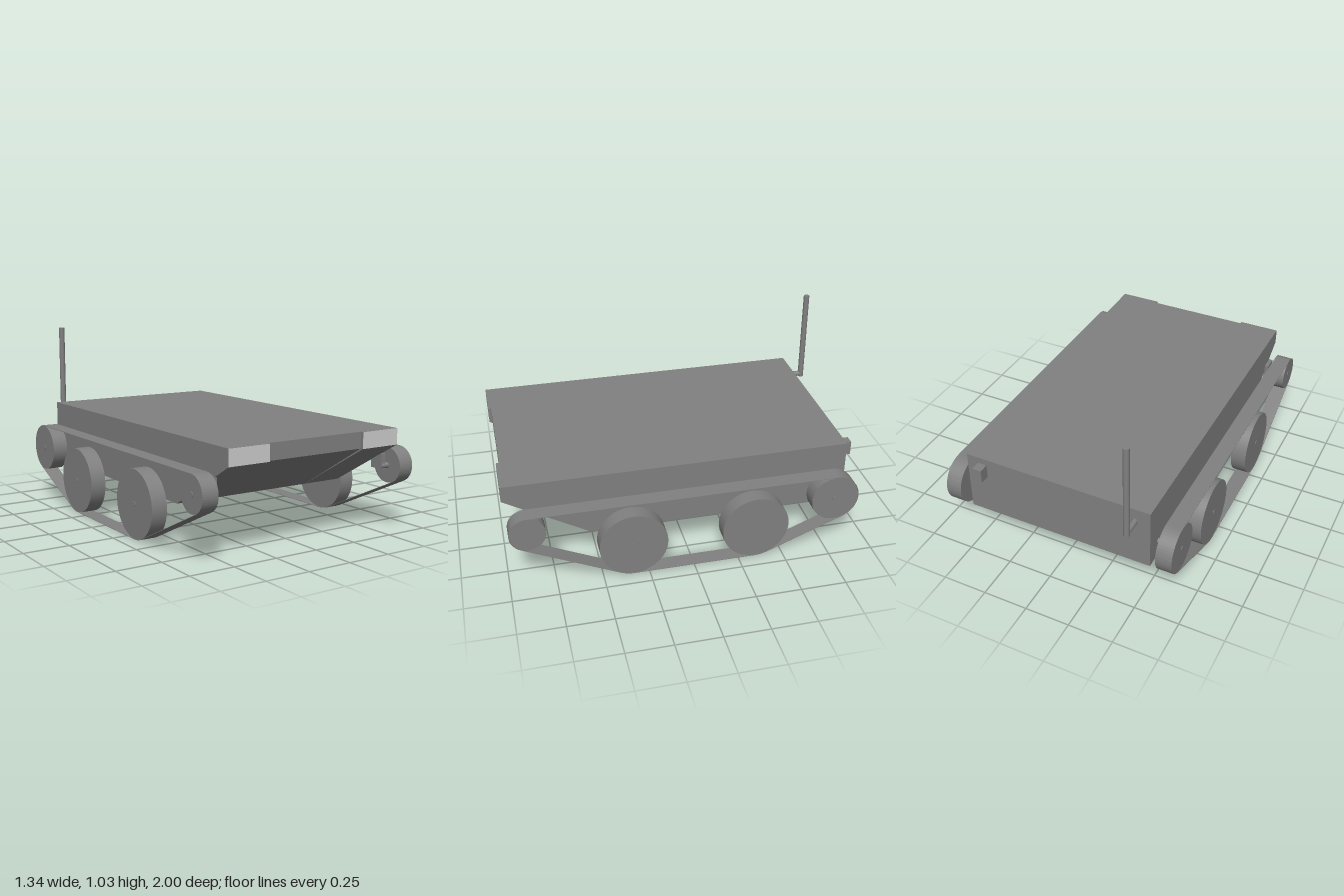
import * as THREE from 'three';

const darkGrey = new THREE.MeshStandardMaterial({ color: 0x808080, side: THREE.DoubleSide });
const lightGrey = new THREE.MeshStandardMaterial({ color: 0xcccccc });

function add(parent, name, geometry, x = 0, y = 0, z = 0, material = darkGrey) {
  const mesh = new THREE.Mesh(geometry, material);
  mesh.name = name;
  mesh.position.set(x, y, z);
  parent.add(mesh);
  return mesh;
}

const box = (x0, x1, y0, y1, z0, z1) =>
  new THREE.BoxGeometry(x1 - x0, y1 - y0, z1 - z0)
    .translate((x0 + x1) / 2, (y0 + y1) / 2, (z0 + z1) / 2);

// Extrudes a shape drawn in (z, y) across the model from x0 to x1
const extrudeAcross = (shape, x0, x1) =>
  new THREE.ExtrudeGeometry(shape, { depth: x1 - x0, bevelEnabled: false })
    .rotateY(-Math.PI / 2).translate(x1, 0, 0);

const cylinderX = (r, x0, x1, sides) =>
  new THREE.CylinderGeometry(r, r, x1 - x0, sides).rotateZ(Math.PI / 2).translate((x0 + x1) / 2, 0, 0);

// Wheels from front to back along the underside: centre z, y and radius
const wheels = [
  { name: 'frontIdlerWheel', z: 0.885, y: 0.35, r: 0.096 },
  { name: 'frontRoadWheel', z: 0.332, y: 0.189, r: 0.186 },
  { name: 'rearRoadWheel', z: -0.345, y: 0.189, r: 0.186 },
  { name: 'rearDriveWheel', z: -0.792, y: 0.313, r: 0.133 },
];

// Outline of a belt stretched around all the wheels, grown by an offset
function beltOutline(offset) {
  const count = wheels.length;
  // Direction of the outward normal of the straight run from each wheel to the next
  const normals = wheels.map((a, i) => {
    const b = wheels[(i + 1) % count];
    const dz = b.z - a.z, dy = b.y - a.y;
    return Math.atan2(dy, dz) + Math.acos((a.r - b.r) / Math.hypot(dz, dy));
  });
  const points = [];
  wheels.forEach((w, i) => {
    const start = normals[(i + count - 1) % count];
    let sweep = start - normals[i];
    sweep -= Math.floor(sweep / (2 * Math.PI)) * 2 * Math.PI;
    const steps = Math.max(2, Math.ceil(sweep / 0.13));
    for (let k = 0; k <= steps; k++) {
      const angle = start - sweep * k / steps, r = w.r + offset;
      points.push(new THREE.Vector2(w.z + r * Math.cos(angle), w.y + r * Math.sin(angle)));
    }
  });
  return points;
}

function createRunningGear(name) {
  const side = new THREE.Group();
  side.name = name;

  // Wheels and their axles
  for (const w of wheels) {
    add(side, w.name, cylinderX(w.r, 0.58, 0.668, 48), 0, w.y, w.z);
    add(side, w.name + 'Axle', cylinderX(0.016, 0.53, 0.671, 16), 0, w.y, w.z);
  }

  // Thin belt
  const shape = new THREE.Shape(beltOutline(0.003));
  shape.holes.push(new THREE.Path(beltOutline(0.0005)));
  add(side, 'trackBelt', extrudeAcross(shape, 0.579, 0.669));

  // Axle brackets on the hull side
  add(side, 'frontIdlerBracket', box(0.53, 0.557, 0.333, 0.415, 0.815, 0.895));
  add(side, 'frontRoadBracket', box(0.53, 0.557, 0.171, 0.25, 0.287, 0.366));
  add(side, 'rearRoadBracket', box(0.53, 0.557, 0.171, 0.25, -0.39, -0.311));
  return side;
}

function createHull() {
  const hull = new THREE.Group();
  hull.name = 'hull';
  // Side profile with a sloping nose that ends at the given z
  const profile = (nose) => new THREE.Shape([
    [-0.89, 0.216], [0.54, 0.216], [nose, 0.483], [nose, 0.571], [-0.89, 0.571],
  ].map(([z, y]) => new THREE.Vector2(z, y)));
  // The middle of the nose is set back a little
  add(hull, 'hullMiddle', extrudeAcross(profile(0.982), -0.297, 0.297));
  add(hull, 'hullLeft', extrudeAcross(profile(0.999), 0.297, 0.535));
  add(hull, 'hullRight', extrudeAcross(profile(0.999), -0.535, -0.297));

  // Light panels on the two front corners
  const panel = new THREE.PlaneGeometry(0.238, 0.088);
  add(hull, 'leftFrontLight', panel, 0.416, 0.527, 1, lightGrey);
  add(hull, 'rightFrontLight', panel, -0.416, 0.527, 1, lightGrey);
  return hull;
}

export function createModel() {
  const model = new THREE.Group();
  model.name = 'trackedVehicle';
  model.add(createHull());

  // Running gear on both sides
  const right = createRunningGear('rightRunningGear');
  right.scale.x = -1;
  model.add(createRunningGear('leftRunningGear'), right);

  // Antenna on a short arm at the back
  const arm = new THREE.CylinderGeometry(0.016, 0.016, 0.095, 20).rotateX(Math.PI / 2);
  add(model, 'antennaArm', arm, -0.449, 0.495, -0.932);
  add(model, 'antenna', new THREE.CylinderGeometry(0.017, 0.017, 0.55, 20), -0.449, 0.753, -0.983);

  // Small block at the back
  add(model, 'rearBlock', box(0.417, 0.47, 0.457, 0.535, -0.945, -0.88));
  return model;
}
